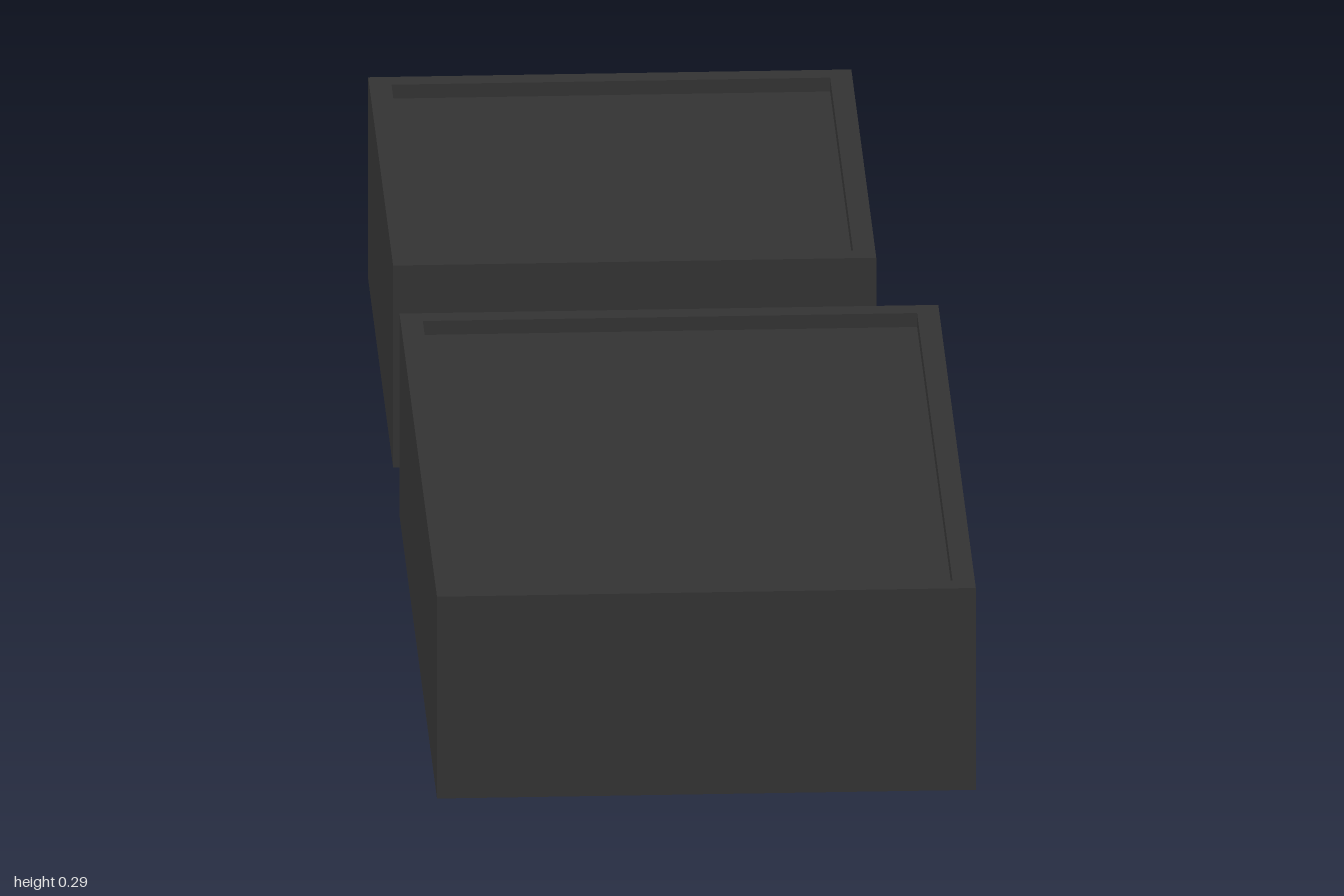
import * as THREE from 'three';

const HEIGHT = 0.29, RIM = 0.03, RECESS = 0.02;

// Rectangle corners at height y, counter-clockwise seen from above
function ring(w, d, y) {
  return [[-1, 1], [1, 1], [1, -1], [-1, -1]].map(([sx, sz]) => [sx * w / 2, y, sz * d / 2]);
}

// Closed shell: underside, outer walls, flat rim and inner lip walls
function shellGeometry(w, d) {
  const iw = w - 2 * RIM, id = d - 2 * RIM;
  const rings = [ring(w, d, 0), ring(w, d, HEIGHT), ring(iw, id, HEIGHT), ring(iw, id, HEIGHT - RECESS)];
  const pos = [];
  const quad = (a, b, c, e) => pos.push(...a, ...b, ...c, ...a, ...c, ...e);
  for (let i = 0; i < rings.length - 1; i++) {
    for (let j = 0; j < 4; j++) {
      const k = (j + 1) % 4;
      quad(rings[i][j], rings[i][k], rings[i + 1][k], rings[i + 1][j]);
    }
  }
  quad(...[...rings[0]].reverse());
  const geo = new THREE.BufferGeometry();
  geo.setAttribute('position', new THREE.Float32BufferAttribute(pos, 3));
  geo.computeVertexNormals();
  return geo;
}

// Box with a shallow recessed top, given by its plan extents
function recessedBox(name, x0, x1, z0, z1, material) {
  const w = x1 - x0, d = z1 - z0;
  const group = new THREE.Group();
  group.name = name;
  const shell = new THREE.Mesh(shellGeometry(w, d), material);
  shell.name = name + 'Shell';
  const panel = new THREE.Mesh(new THREE.PlaneGeometry(w - 2 * RIM, d - 2 * RIM), material);
  panel.name = name + 'TopPanel';
  panel.rotation.x = -Math.PI / 2;
  panel.position.y = HEIGHT - RECESS;
  group.add(shell, panel);
  group.position.set((x0 + x1) / 2, 0, (z0 + z1) / 2);
  return group;
}

export function createModel() {
  const model = new THREE.Group();
  model.name = 'recessedBoxes';
  const dark = new THREE.MeshStandardMaterial({ color: 0x333333 });
  model.add(
    recessedBox('largeBox', -0.363, 0.363, -0.09, 1, dark),
    recessedBox('smallBox', -0.363, 0.288, -1, -0.275, dark),
  );
  return model;
}
